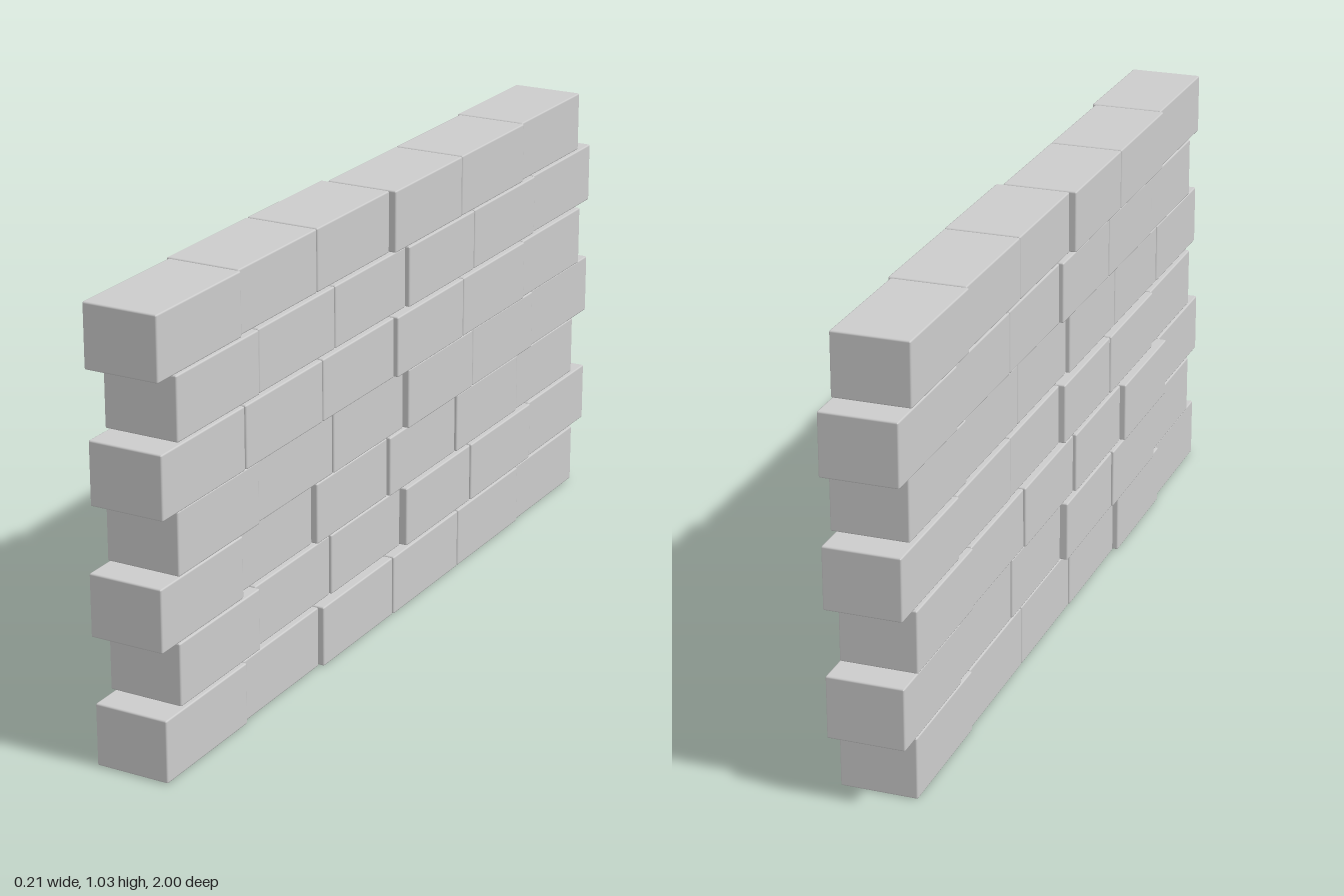
import * as THREE from 'three';
import { RoundedBoxGeometry } from 'three/addons/geometries/RoundedBoxGeometry.js';

const WIDTH = 0.175, HEIGHT = 0.144, LENGTH = 0.32;
const ROW_STEP = 0.147, BRICK_STEP = 0.3228, BEVEL = 0.004;

// Sideways offset of each brick, bottom row first, from the front end to the back
const OFFSETS = [
  [0.005, -0.004, 0.008, 0.010, 0.010, 0.005],
  [0.000, -0.013, -0.009, 0.008, 0.010, 0.004],
  [0.000, -0.020, -0.007, 0.000, 0.004, 0.000],
  [0.002, -0.004, -0.002, 0.012, 0.010, 0.005],
  [0.009, 0.010, 0.010, 0.019, 0.018, 0.013],
  [0.006, 0.003, 0.003, 0.012, 0.011, 0.006],
  [0.005, -0.003, -0.003, 0.012, 0.011, 0.004],
];

export function createModel() {
  const wall = new THREE.Group();
  wall.name = 'brickWall';
  const material = new THREE.MeshStandardMaterial({ color: 0xcccccc });
  const brickGeometry = new RoundedBoxGeometry(WIDTH, HEIGHT, LENGTH, 1, BEVEL);

  // Running bond: every other row is shifted towards the back
  OFFSETS.forEach((offsets, row) => {
    const course = new THREE.Group();
    course.name = `course${row + 1}`;
    course.position.y = HEIGHT / 2 + row * ROW_STEP;
    const start = row % 2 ? 0.934 : 1;
    offsets.forEach((x, i) => {
      const brick = new THREE.Mesh(brickGeometry, material);
      brick.name = `brick${row + 1}_${i + 1}`;
      brick.position.set(x, 0, start - LENGTH / 2 - i * BRICK_STEP);
      course.add(brick);
    });
    wall.add(course);
  });
  return wall;
}
